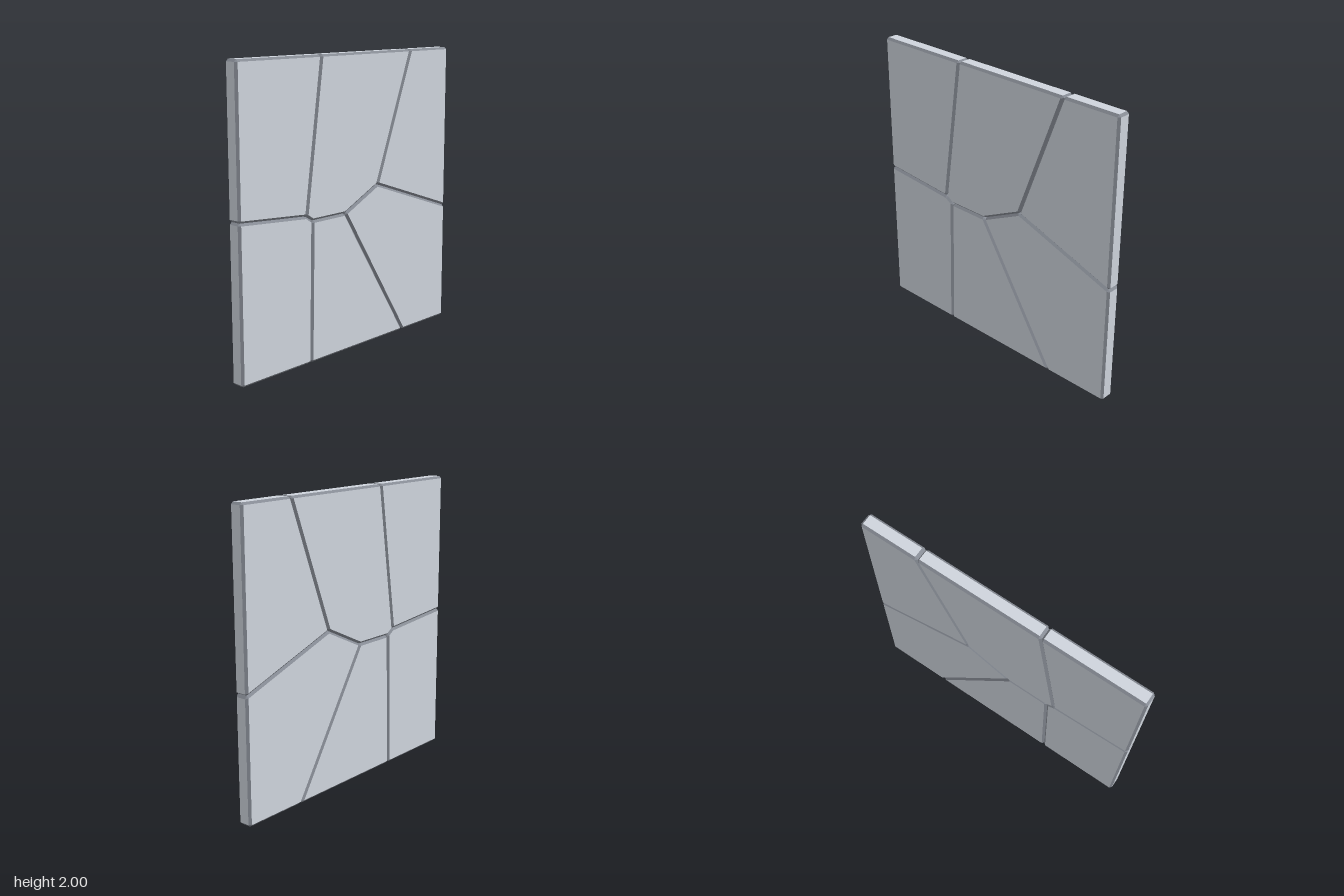
import * as THREE from 'three';

const HALF = 0.05;    // half thickness of the panel
const BEVEL = 0.015;  // chamfer on every edge

// Seam junctions and seam ends
const A = [-0.29, 2], B = [0.587, 2], C = [-0.435, 0.987], D = [-1, 1.032];
const E = [-0.38, 0.951], F = [-0.075, 0.951], G = [0.245, 1.103], H = [1, 0.845];
const I = [-0.4, 0], J = [0.53, 0];

// Convex fragments, corners counter-clockwise seen from the front
const FRAGMENTS = {
  topLeftFragment: [[-1, 2], D, C, A],
  topMiddleFragment: [A, C, E, F, G, B],
  topRightFragment: [B, G, H, [1, 2]],
  bottomLeftFragment: [[-1, 0], I, E, C, D],
  bottomMiddleFragment: [I, J, F, E],
  bottomRightFragment: [J, [1, 0], H, G, F],
};

// A convex slab with every edge chamfered: group 0 is faces, group 1 chamfers
function chamferedSlab(points) {
  const p = points.map(([x, y]) => new THREE.Vector2(x, y));
  const n = p.length;
  const dir = p.map((a, i) => p[(i + 1) % n].clone().sub(a).normalize());
  const inward = dir.map((d) => new THREE.Vector2(-d.y, d.x));
  const zSide = HALF - BEVEL;

  // Per corner: inset face point, and the two cut points on the outline
  const corners = p.map((c, i) => {
    const h = (i + n - 1) % n;
    const scale = BEVEL / (1 + inward[h].dot(inward[i]));
    return {
      face: c.clone().add(inward[h].clone().add(inward[i]).multiplyScalar(scale)),
      before: c.clone().addScaledVector(dir[h], -BEVEL),
      after: c.clone().addScaledVector(dir[i], BEVEL),
    };
  });

  const flat = [], chamfer = [];
  const tri = (out, ...v) => v.forEach(([q, z]) => out.push(q.x, q.y, z));
  const quad = (out, a, b, c, d) => { tri(out, a, b, c); tri(out, a, c, d); };

  corners.forEach((c, i) => {
    const next = corners[(i + 1) % n];
    // Outer side and corner chamfer
    quad(flat, [c.after, -zSide], [next.before, -zSide], [next.before, zSide], [c.after, zSide]);
    quad(chamfer, [c.before, -zSide], [c.after, -zSide], [c.after, zSide], [c.before, zSide]);
    // Front and back edge chamfers with their corner triangles
    quad(chamfer, [c.after, zSide], [next.before, zSide], [next.face, HALF], [c.face, HALF]);
    quad(chamfer, [c.face, -HALF], [next.face, -HALF], [next.before, -zSide], [c.after, -zSide]);
    tri(chamfer, [c.before, zSide], [c.after, zSide], [c.face, HALF]);
    tri(chamfer, [c.face, -HALF], [c.after, -zSide], [c.before, -zSide]);
    // Front and back faces as fans
    if (i > 0 && i < n - 1) {
      tri(flat, [corners[0].face, HALF], [c.face, HALF], [next.face, HALF]);
      tri(flat, [corners[0].face, -HALF], [next.face, -HALF], [c.face, -HALF]);
    }
  });

  const geometry = new THREE.BufferGeometry();
  geometry.setAttribute('position', new THREE.Float32BufferAttribute([...flat, ...chamfer], 3));
  geometry.addGroup(0, flat.length / 3, 0);
  geometry.addGroup(flat.length / 3, chamfer.length / 3, 1);
  geometry.computeVertexNormals();
  return geometry;
}

export function createModel() {
  const stone = new THREE.MeshStandardMaterial({ color: 0xced4dc });
  stone.name = 'pale grey stone';
  const edge = new THREE.MeshStandardMaterial({ color: 0x868b94 });
  edge.name = 'dark grey edge';

  const model = new THREE.Group();
  model.name = 'crackedPanel';
  for (const [name, points] of Object.entries(FRAGMENTS)) {
    const mesh = new THREE.Mesh(chamferedSlab(points), [stone, edge]);
    mesh.name = name;
    model.add(mesh);
  }
  return model;
}
